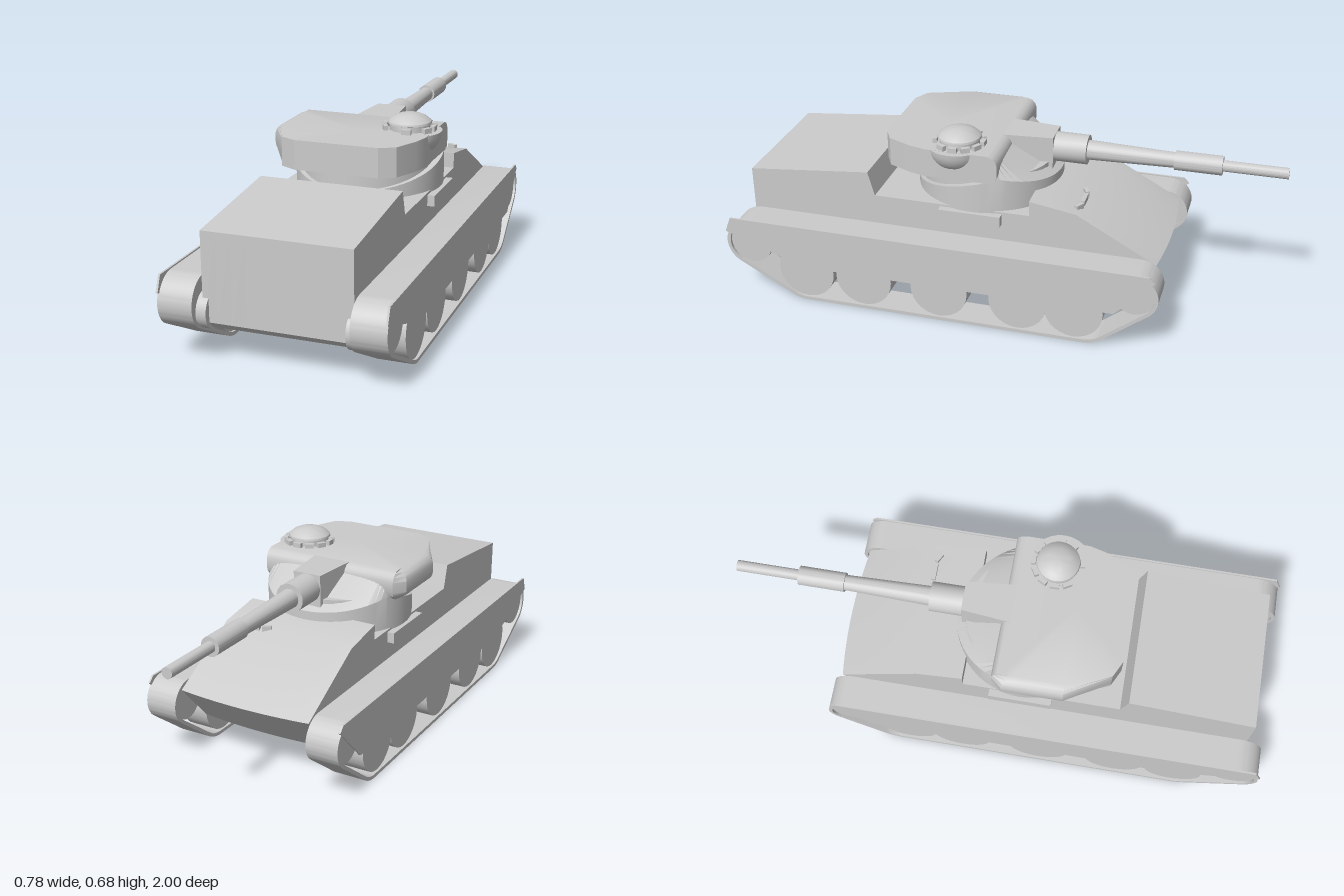
import * as THREE from 'three';
import { toCreasedNormals } from 'three/addons/utils/BufferGeometryUtils.js';

const material = new THREE.MeshStandardMaterial({ color: 0xcccccc, side: THREE.DoubleSide });

function add(parent, name, geometry, x = 0, y = 0, z = 0) {
  const mesh = new THREE.Mesh(geometry, material);
  mesh.name = name;
  mesh.position.set(x, y, z);
  parent.add(mesh);
  return mesh;
}

// Side profile in (z, y), extruded from x0 to x1
function sideExtrude(shape, x0, x1, steps = 1) {
  const g = new THREE.ExtrudeGeometry(shape, { depth: x1 - x0, steps, bevelEnabled: false, curveSegments: 14 });
  g.rotateY(-Math.PI / 2);
  g.translate(x1, 0, 0);
  return toCreasedNormals(g, 0.5);
}

const polygon = (pts) => new THREE.Shape(pts.map(([a, b]) => new THREE.Vector2(a, b)));

// Skin through equal-length loops, listed bottom to top, with fan caps
function loft(rings) {
  const n = rings[0].length, pos = [];
  const tri = (...p) => p.forEach((v) => pos.push(...v));
  for (let k = 0; k < rings.length - 1; k++) {
    for (let i = 0; i < n; i++) {
      const j = (i + 1) % n, a = rings[k], b = rings[k + 1];
      tri(a[i], a[j], b[j]);
      tri(a[i], b[j], b[i]);
    }
  }
  [rings[0], rings[rings.length - 1]].forEach((r, top) => {
    const c = [0, 1, 2].map((d) => r.reduce((s, p) => s + p[d], 0) / n);
    for (let i = 0; i < n; i++) {
      const j = (i + 1) % n;
      if (top) tri(c, r[i], r[j]); else tri(c, r[j], r[i]);
    }
  });
  const g = new THREE.BufferGeometry();
  g.setAttribute('position', new THREE.Float32BufferAttribute(pos, 3));
  return toCreasedNormals(g, 0.45);
}

// Belt around circles [z, y, r], given counter-clockwise
function beltPath(path, circles, inset) {
  const n = circles.length;
  const normals = circles.map(([z, y, r], i) => {
    const [z2, y2, r2] = circles[(i + 1) % n];
    const d = Math.hypot(z2 - z, y2 - y);
    return Math.atan2(y2 - y, z2 - z) - Math.acos((r - r2) / d);
  });
  circles.forEach(([z, y, r], i) => {
    path.absarc(z, y, r - inset, normals[(i + n - 1) % n], normals[i], false);
  });
  path.closePath();
  return path;
}

const cylX = (r, w, seg = 28) => new THREE.CylinderGeometry(r, r, w, seg).rotateZ(Math.PI / 2);
const lathe = (pts, seg = 28) =>
  toCreasedNormals(new THREE.LatheGeometry(pts.map(([r, y]) => new THREE.Vector2(r, y)), seg), 0.5);

function buildHull(root) {
  const profile = polygon([[0.91, 0.12], [0.935, 0.145], [0.935, 0.455], [0.475, 0.5], [0.45, 0.41], [-0.13, 0.41],
    [-0.13, 0.467], [-0.3, 0.44], [-0.61, 0.28], [-0.47, 0.125]]);
  const g = sideExtrude(profile, -0.258, 0.258, 10);
  // Bow the nose slightly
  const p = g.attributes.position;
  for (let i = 0; i < p.count; i++) {
    if (p.getZ(i) < -0.4) p.setZ(i, p.getZ(i) + 0.018 * (p.getX(i) / 0.258) ** 2);
  }
  g.deleteAttribute('normal');
  add(root, 'hull', toCreasedNormals(g, 0.5));
  add(root, 'turretRingLedge', new THREE.BoxGeometry(0.57, 0.04, 0.23), 0, 0.382, 0.085);
  // Driver's periscopes on the glacis
  [-1, 0, 1].forEach((k) => {
    const m = add(root, 'driverPeriscope', new THREE.BoxGeometry(k ? 0.035 : 0.065, 0.022, 0.014),
      0.145 + k * 0.058, 0.442, -0.306 + Math.abs(k) * 0.006);
    m.rotation.y = -k * 0.5;
  });
}

function buildRunningGear(root) {
  const circles = [[-0.36, 0.12, 0.12], [0.69, 0.12, 0.12], [0.905, 0.208, 0.093], [-0.54, 0.216, 0.085]];
  const belt = beltPath(new THREE.Shape(), circles, 0);
  belt.holes.push(beltPath(new THREE.Path(), circles, 0.013));
  const skirt = polygon([[1, 0.25], [0.978, 0.306], [-0.59, 0.306], [-0.61, 0.285], [-0.47, 0.14], [0.69, 0.14]]);
  for (const s of [1, -1]) {
    const side = new THREE.Group();
    side.name = s > 0 ? 'leftRunningGear' : 'rightRunningGear';
    add(side, 'track', sideExtrude(belt, s > 0 ? 0.265 : -0.387, s > 0 ? 0.387 : -0.265));
    add(side, 'sideSkirt', sideExtrude(skirt, s > 0 ? 0.382 : -0.389, s > 0 ? 0.389 : -0.382));
    for (const z of [0.69, 0.465, 0.175, -0.12, -0.325]) {
      add(side, 'roadWheel', cylX(0.107, 0.105), s * 0.325, 0.12, z);
    }
    add(side, 'sprocket', cylX(0.08, 0.105), s * 0.325, 0.208, 0.905);
    add(side, 'idler', cylX(0.072, 0.105), s * 0.325, 0.216, -0.54);
    add(side, 'finalDrive', cylX(0.065, 0.05), s * 0.262, 0.177, 0.895);
    root.add(side);
  }
}

function buildTurret(root) {
  const turret = new THREE.Group();
  turret.name = 'turret';
  root.add(turret);
  add(turret, 'turretBase', toCreasedNormals(new THREE.CylinderGeometry(0.246, 0.246, 0.14, 48), 0.5), 0, 0.46, 0.09);

  // Round armoured shell: low at the rear, sloping cheeks at the front
  const n = 64, R = 0.27, cz = 0.08, low = [], rim = [], top = [];
  for (let i = 0; i < n; i++) {
    const t = (i / n) * Math.PI * 2;
    const x = R * Math.cos(t), z = cz - R * Math.sin(t);
    const y = z > -0.02 ? 0.535 - (z + 0.02) * 0.267 : 0.535 + (z + 0.02) * 0.26;
    low.push([x, 0.4, z]);
    rim.push([x, y, z]);
    top.push(z < 0 ? [x * 0.95, 0.62, 0.03] : [x * 0.9, y, cz + (z - cz) * 0.9]);
  }
  add(turret, 'cheekShell', loft([low, rim, top]));

  // Upper body, its right flank and right front rounded
  const plan = [[0.265, 0.1], [0.265, -0.015], [-0.27, -0.02], [-0.305, 0.02], [-0.305, 0.24], [-0.21, 0.4],
    [-0.15, 0.43], [0.155, 0.43], [0.21, 0.4], [0.25, 0.31], [0.265, 0.25]];
  const layers = [[0.52, 0.025], [0.535, 0.006], [0.55, 0], [0.59, 0], [0.607, 0.006], [0.619, 0.018], [0.626, 0.036]];
  add(turret, 'turretBody', loft(layers.map(([y, inset]) => plan.map(([x, z]) =>
    [Math.max(x, -0.305 + inset), y, z < 0.1 ? z + inset : z]))));

  // Gun housing, narrowing forward
  const housing = [[0.078, 0.06], [0.073, 0.02], [0.055, -0.165], [-0.055, -0.165], [-0.073, 0.02], [-0.078, 0.06]];
  add(turret, 'gunHousing', loft([0.47, 0.625].map((y) => housing.map(([x, z]) => [x, y, z]))));

  // Gun as one stepped profile from housing to muzzle
  const gun = lathe([[0, 0.1], [0.054, 0.1], [0.054, 0.285], [0.036, 0.285], [0.028, 0.6], [0.035, 0.6],
    [0.035, 0.77], [0.02, 0.77], [0.02, 1], [0, 1]], 24);
  gun.rotateX(-Math.PI / 2);
  add(turret, 'gun', gun, 0, 0.57, 0);

  // Cupola with its bowl-shaped side bulge and periscopes
  const bowl = [];
  for (let i = 0; i <= 10; i++) {
    const a = (i / 10) * Math.PI / 2;
    bowl.push([0.112 * Math.sin(a), -0.1 * Math.cos(a)]);
  }
  add(turret, 'cupolaBulge', lathe([...bowl, [0, 0]]), 0.18, 0.625, 0.155);
  add(turret, 'cupola', lathe([[0.073, 0], [0.073, 0.022], [0.079, 0.024], [0.077, 0.031], [0.062, 0.044],
    [0.042, 0.053], [0.02, 0.058], [0, 0.059]]), 0.174, 0.625, 0.148);
  for (const deg of [-120, -90, -60, -30, 0, 30, 60, 90, 120, 170]) {
    const a = THREE.MathUtils.degToRad(deg);
    const m = add(turret, 'cupolaPeriscope', new THREE.BoxGeometry(0.033, 0.019, 0.016),
      0.174 + 0.088 * Math.sin(a), 0.634, 0.148 - 0.088 * Math.cos(a));
    m.rotation.y = -a;
  }
}

export function createModel() {
  const root = new THREE.Group();
  root.name = 'tank';
  buildHull(root);
  buildRunningGear(root);
  buildTurret(root);
  return root;
}
